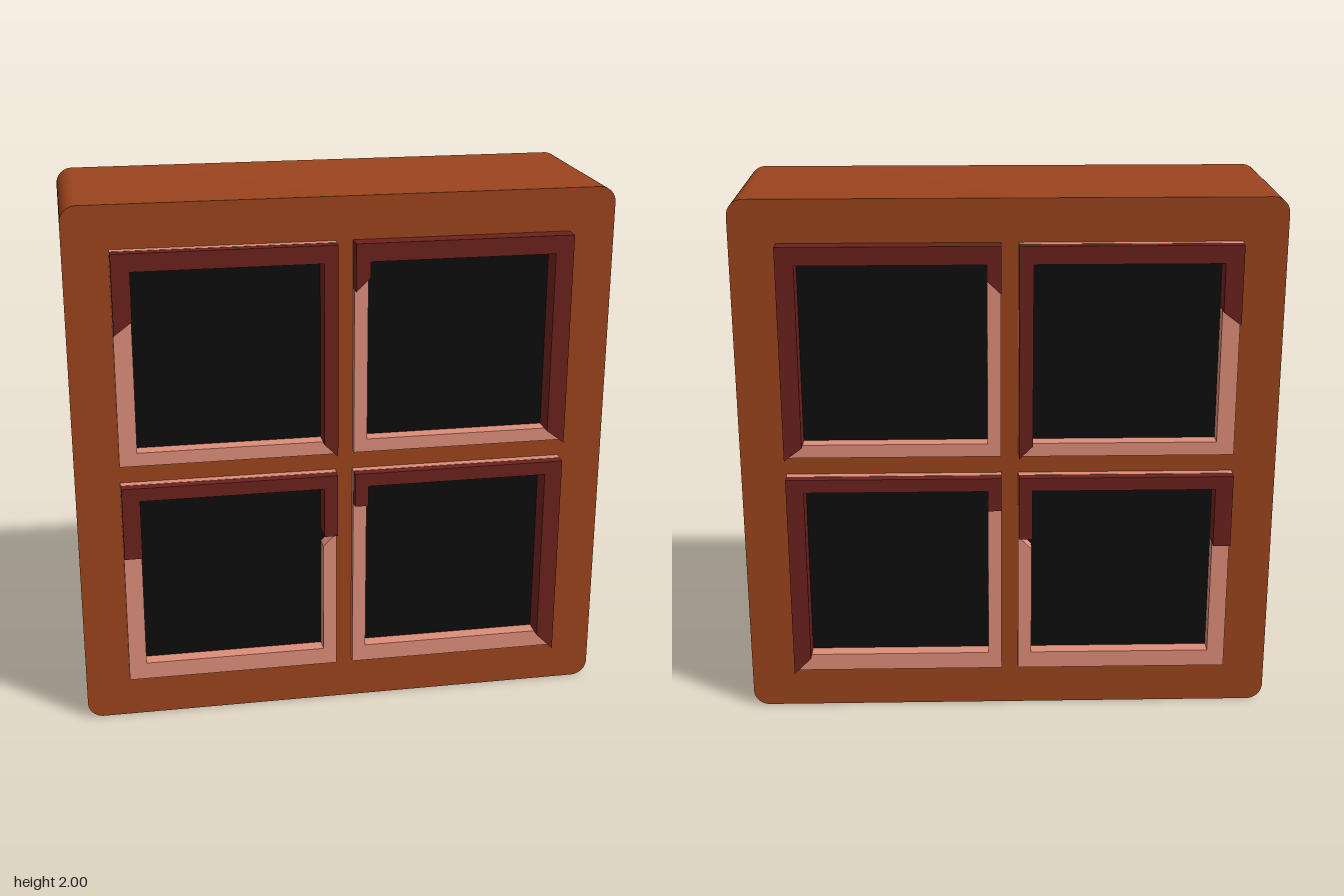
import * as THREE from 'three';
import { toCreasedNormals } from 'three/addons/utils/BufferGeometryUtils.js';

const BODY_Z = 0.345, PANE_Z = 0.32, FRAME_Z = 0.375, TRIM_Z = 0.41;

const material = (color) => new THREE.MeshStandardMaterial({ color });
const brown = material(0x9b441d);
const pink = material(0xdd8d79);
const maroon = material(0x6b211c);
const black = material(0x0d0d0d);

// Each window: outer lower corner, outer and inner bounds, and the
// [outer, inner] heights where the trim's left and right legs end.
const windows = [
  { name: 'upperRight', x: [-0.835, -0.035], y: [1.04, 1.84], ix: [-0.77, -0.085], iy: [1.09, 1.775],
    left: [1.545, 1.595], right: [1.04, 1.09] },
  { name: 'upperLeft', x: [0.03, 0.83], y: [1.04, 1.84], ix: [0.08, 0.765], iy: [1.09, 1.775],
    left: [1.665, 1.715], right: [1.04, 1.09], trimOutside: true },
  { name: 'lowerRight', x: [-0.835, -0.035], y: [0.165, 0.965], ix: [-0.77, -0.085], iy: [0.23, 0.915],
    left: [0.685, 0.685], right: [0.72, 0.72], notch: [[-0.085, 0.665], [-0.04, 0.71], [-0.085, 0.72]] },
  { name: 'lowerLeft', x: [0.03, 0.83], y: [0.165, 0.965], ix: [0.08, 0.765], iy: [0.23, 0.915],
    left: [0.835, 0.835], right: [0.165, 0.23] },
];

const points = (list) => list.map(([x, y]) => new THREE.Vector2(x, y));
const rect = ([x0, x1], [y0, y1], grow = 0) => points([
  [x0 - grow, y0 - grow], [x1 + grow, y0 - grow], [x1 + grow, y1 + grow], [x0 - grow, y1 + grow]]);

function slab(name, shape, z0, z1, mat) {
  const geo = new THREE.ExtrudeGeometry(shape, { depth: z1 - z0, bevelEnabled: false, curveSegments: 8 });
  geo.translate(0, 0, z0);
  const mesh = new THREE.Mesh(toCreasedNormals(geo, 0.6), mat);
  mesh.name = name;
  return mesh;
}

// Square block with rounded corners and four window openings
function createBody() {
  const r = 0.06, s = new THREE.Shape();
  s.absarc(1 - r, r, r, -Math.PI / 2, 0);
  s.absarc(1 - r, 2 - r, r, 0, Math.PI / 2);
  s.absarc(-1 + r, 2 - r, r, Math.PI / 2, Math.PI);
  s.absarc(-1 + r, r, r, Math.PI, Math.PI * 1.5);
  s.closePath();
  for (const w of windows) s.holes.push(new THREE.Path(rect(w.x, w.y)));
  return slab('body', s, -BODY_Z, BODY_Z, brown);
}

// Light frame ring, with an optional chip in its right bar
function frameShape(w) {
  const [x0, x1] = w.ix, [y0, y1] = w.iy;
  const shape = new THREE.Shape(rect(w.x, w.y, w.trimOutside ? 0 : 0.001));
  shape.holes.push(new THREE.Path(points([
    [x0, y0], [x1, y0], ...(w.notch || []), [x1, y1], [x0, y1]])));
  return shape;
}

// Dark trim: a top bar with two legs of uneven length
function trimShape(w) {
  const g = w.trimOutside ? 0.001 : 0, e = 0.001;
  const [x0, x1] = w.x, [a, b] = w.ix, top = w.y[1], inner = w.iy[1];
  return new THREE.Shape(points([
    [x0 - g, w.left[0]], [a + e, w.left[1]], [a + e, inner - e], [b - e, inner - e],
    [b - e, w.right[1]], [x1 + g, w.right[0]], [x1 + g, top + g], [x0 - g, top + g]]));
}

export function createModel() {
  const model = new THREE.Group();
  model.name = 'windowBlock';
  model.add(createBody());

  for (const w of windows) {
    const group = new THREE.Group();
    group.name = w.name + 'Window';
    group.add(slab('pane', new THREE.Shape(rect(w.x, w.y)), -PANE_Z, PANE_Z, black));
    // The back repeats the front, mirrored in depth
    group.add(
      slab('frontFrame', frameShape(w), PANE_Z, FRAME_Z, pink),
      slab('backFrame', frameShape(w), -FRAME_Z, -PANE_Z, pink),
      slab('frontTrim', trimShape(w), PANE_Z, TRIM_Z, maroon),
      slab('backTrim', trimShape(w), -TRIM_Z, -PANE_Z, maroon),
    );
    model.add(group);
  }
  return model;
}
